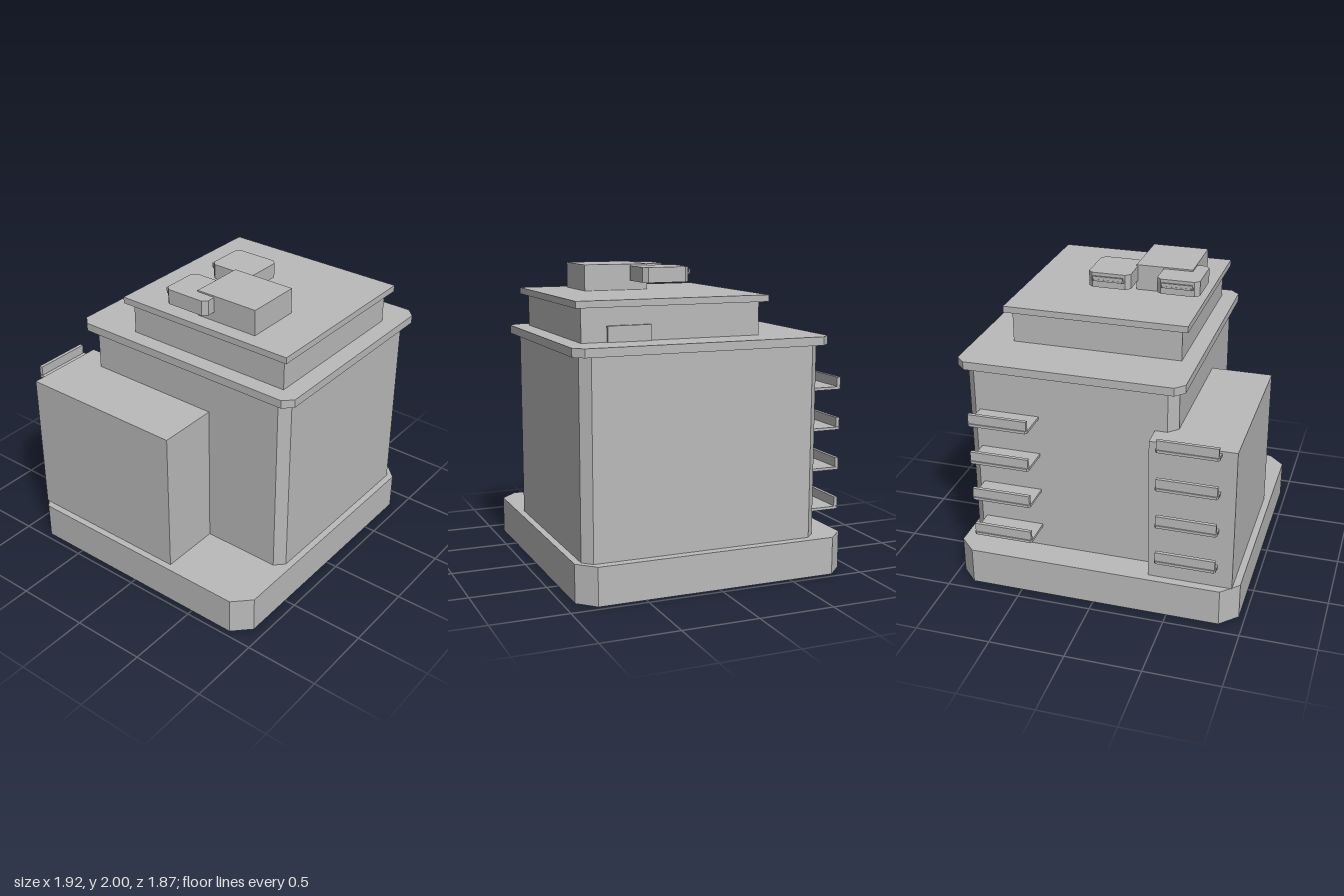
import * as THREE from 'three';

const concrete = new THREE.MeshStandardMaterial({ color: 0xbababa });
concrete.name = 'concrete grey';

// Upright block between two corners; back and front plan corners can be cut at 45 degrees
function block(name, [x0, x1], [y0, y1], [z0, z1], backCut = 0, frontCut = backCut) {
  const b = backCut, f = frontCut;
  // plan outline in (x, -z), counter-clockwise from the front
  const plan = [[x0 + f, -z1], [x1 - f, -z1]];
  if (f) plan.push([x1, -z1 + f]);
  else plan[1] = [x1, -z1];
  plan.push([x1, -z0 - b]);
  if (b) plan.push([x1 - b, -z0], [x0 + b, -z0]);
  plan.push([x0, -z0 - b]);
  if (f) plan.push([x0, -z1 + f]);
  const shape = new THREE.Shape(plan.map(([x, y]) => new THREE.Vector2(x, y)));
  const geometry = new THREE.ExtrudeGeometry(shape, { depth: y1 - y0, bevelEnabled: false });
  geometry.rotateX(-Math.PI / 2).translate(0, y0, 0);
  const mesh = new THREE.Mesh(geometry, concrete);
  mesh.name = name;
  return mesh;
}

// Floor slab with a raised parapet along its back edge
function balcony(name, [x0, x1], y, zWall) {
  const group = new THREE.Group();
  group.name = name;
  group.add(
    block('balconyFloor', [x0, x1], [y, y + 0.018], [-0.935, zWall], 0.012, 0),
    block('balconyParapet', [x0 + 0.006, x1 - 0.006], [y + 0.018, y + 0.08], [-0.928, -0.904])
  );
  return group;
}

// Cut-cornered rooftop unit with a small ledge at the back
function roofUnit(name, x0) {
  const x1 = x0 + 0.285;
  const group = new THREE.Group();
  group.name = name;
  group.add(
    block('unitBody', [x0, x1], [1.89, 1.99], [-0.083, 0.24], 0.03),
    block('unitLedge', [x0 + 0.035, x1 - 0.035], [1.94, 1.951], [-0.108, -0.083], 0.012, 0),
    block('unitLip', [x0 + 0.04, x1 - 0.04], [1.951, 1.972], [-0.106, -0.094])
  );
  return group;
}

export function createModel() {
  const model = new THREE.Group();
  model.name = 'building';

  model.add(
    // Main masses
    block('base', [-0.96, 0.96], [0, 0.25], [-0.92, 0.925], 0.112),
    block('tower', [-0.5, 0.9], [0.25, 1.515], [-0.72, 0.88], 0.06),
    block('annex', [-0.915, -0.36], [0.25, 1.235], [-0.863, 0.285]),
    // Roof
    block('roofSlab', [-0.55, 0.945], [1.515, 1.57], [-0.775, 0.935], 0.06),
    block('penthouse', [-0.44, 0.695], [1.57, 1.785], [-0.378, 0.815]),
    block('penthouseDoor', [0.695, 0.715], [1.57, 1.67], [0.365, 0.65]),
    block('penthouseCap', [-0.487, 0.74], [1.785, 1.828], [-0.426, 0.86]),
    block('roofBox', [-0.385, -0.002], [1.828, 2], [0.11, 0.553]),
    roofUnit('rightRoofUnit', -0.472),
    roofUnit('leftRoofUnit', -0.01)
  );

  // Stacked balconies on the back of the tower and the annex
  for (let i = 0; i < 4; i++) {
    const y = 0.395 + i * 0.269;
    model.add(
      balcony('towerBalcony', [0.41, 0.812], y, -0.72),
      balcony('annexBalcony', [-0.818, -0.416], y, -0.863)
    );
  }
  return model;
}
